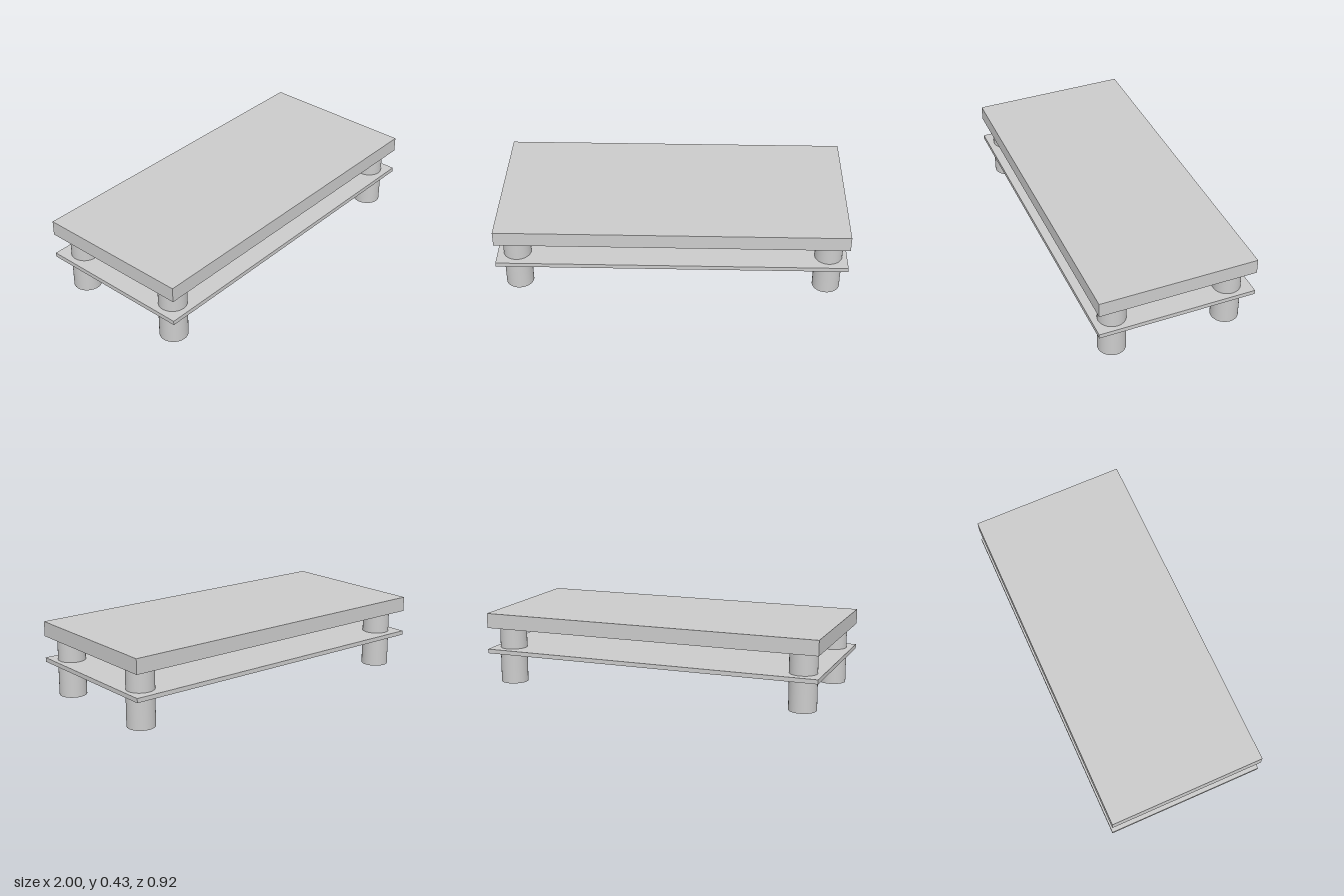
import * as THREE from 'three';

export function createModel() {
  const model = new THREE.Group();
  model.name = 'coffeeTable';
  const material = new THREE.MeshStandardMaterial({ color: 0xcccccc });

  const width = 2, depth = 0.917;
  const legRadius = 0.079, legHeight = 0.338;

  function add(name, geometry, x, y, z) {
    const mesh = new THREE.Mesh(geometry, material);
    mesh.name = name;
    mesh.position.set(x, y, z);
    model.add(mesh);
  }

  // Horizontal slab spanning the full footprint
  function addSlab(name, bottom, top) {
    add(name, new THREE.BoxGeometry(width, top - bottom, depth), 0, (bottom + top) / 2, 0);
  }

  // Thick top and thin lower shelf
  addSlab('tableTop', legHeight, 0.425);
  addSlab('shelf', 0.185, 0.21);

  // Round legs passing through the shelf, set slightly off centre
  const legGeometry = new THREE.CylinderGeometry(legRadius, legRadius, legHeight, 48);
  for (const [side, x] of [['Left', 0.894], ['Right', -0.887]]) {
    for (const [end, z] of [['front', 0.345], ['back', -0.335]]) {
      add(`${end}${side}Leg`, legGeometry, x, legHeight / 2, z);
    }
  }

  return model;
}
